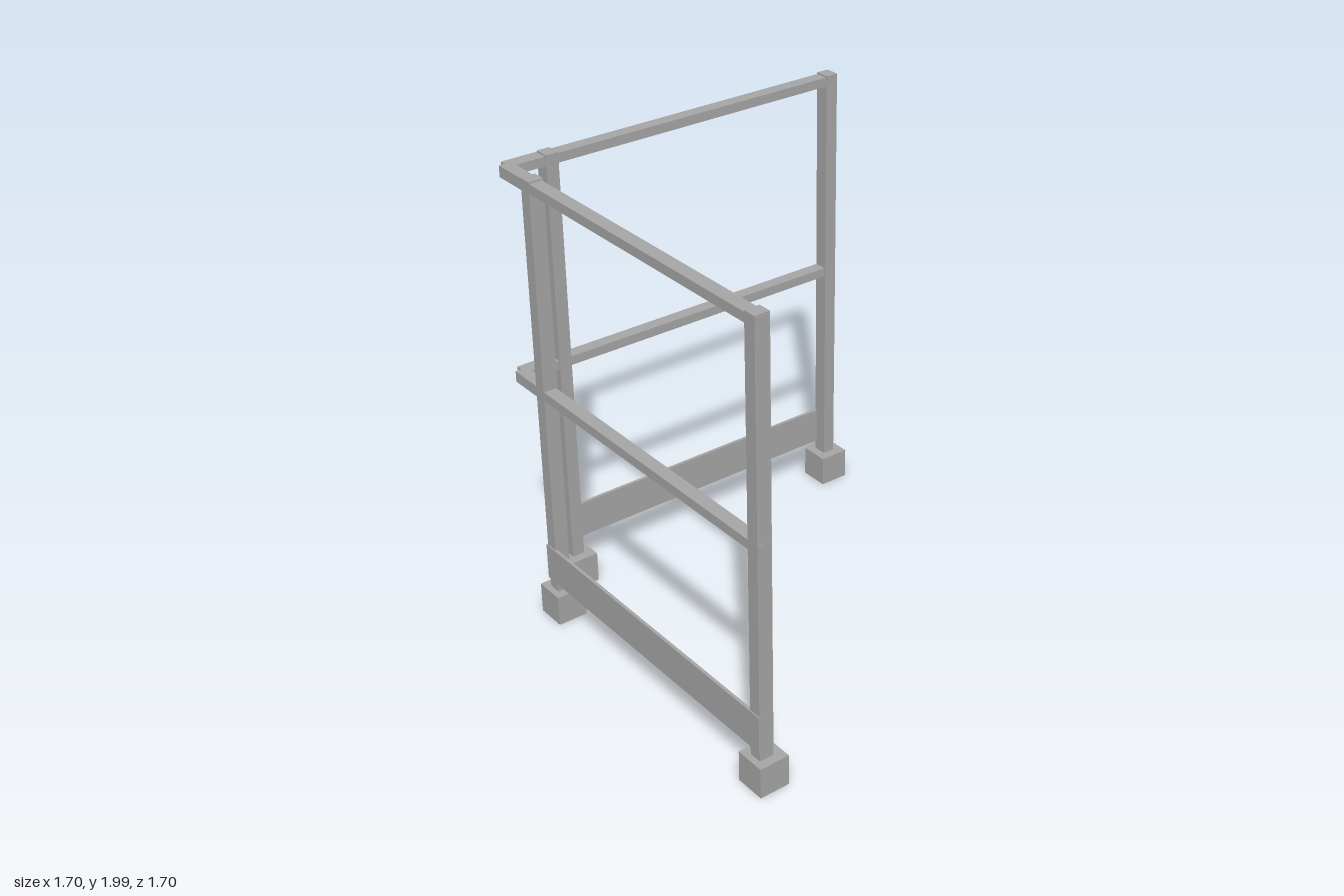
import * as THREE from 'three';

const steel = new THREE.MeshStandardMaterial({ color: 0xa6a6a6 });
steel.name = 'grey steel';

// One straight run of railing, laid out by distance along the run (a),
// height (y) and distance across it (c). The side run swaps x and z.
function makeRun(name, alongX) {
  const run = new THREE.Group();
  run.name = name;

  function bar(part, [a0, a1], [y0, y1], [c0, c1]) {
    const a = a1 - a0, c = c1 - c0;
    const geo = new THREE.BoxGeometry(alongX ? a : c, y1 - y0, alongX ? c : a);
    const mesh = new THREE.Mesh(geo, steel);
    const am = (a0 + a1) / 2, cm = (c0 + c1) / 2;
    mesh.position.set(alongX ? am : cm, (y0 + y1) / 2, alongX ? cm : am);
    mesh.name = part;
    run.add(mesh);
  }

  // Posts standing in square feet
  for (const [label, a] of [['corner', -0.606], ['end', 0.782]]) {
    bar(label + 'Foot', [a - 0.067, a + 0.067], [0, 0.137], [-0.85, -0.717]);
    bar(label + 'Post', [a - 0.028, a + 0.028], [0.137, 1.99], [-0.823, -0.759]);
  }

  // Top and middle rails, with short stubs running on to the corner
  for (const [label, y] of [['top', 1.963], ['middle', 1.073]]) {
    bar(label + 'Rail', [-0.62, 0.812], [y - 0.02, y + 0.02], [-0.822, -0.765]);
    if (alongX) bar(label + 'RailStub', [-0.792, -0.62], [y - 0.02, y + 0.02], [-0.828, -0.765]);
    else bar(label + 'RailStub', [-0.792, -0.62], [y - 0.024, y + 0.024], [-0.822, -0.767]);
  }

  // Toe board on the outer side
  bar('toeBoard', [-0.64, 0.812], [0.18, 0.344], [-0.828, -0.814]);
  return run;
}

export function createModel() {
  const model = new THREE.Group();
  model.name = 'cornerGuardRail';
  model.add(makeRun('backRun', true), makeRun('rightRun', false));
  return model;
}
